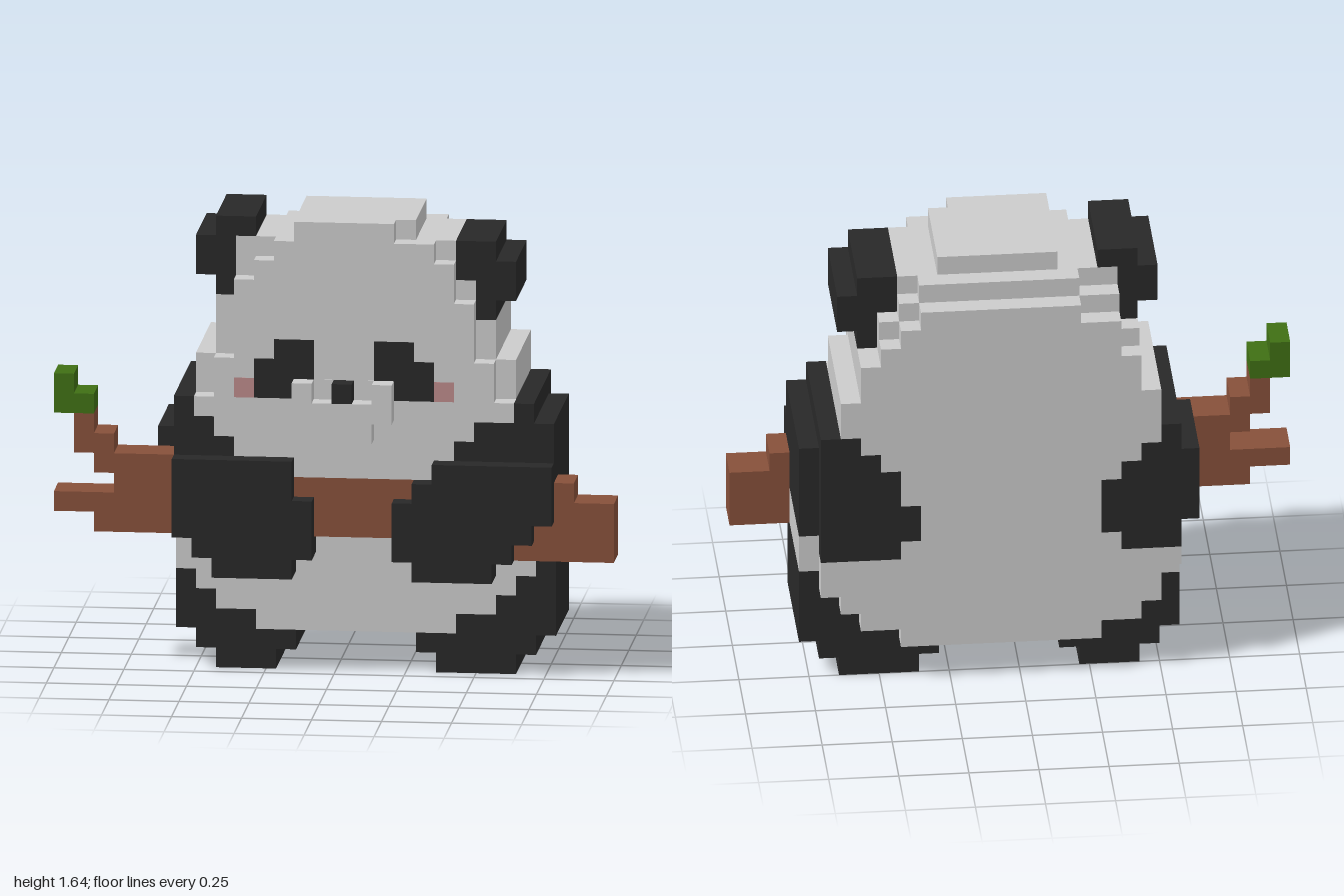
import * as THREE from 'three';
import { mergeGeometries } from 'three/addons/utils/BufferGeometryUtils.js';

const U = 1 / 14; // edge of one cube
const BLACK = 0x282828, BROWN = 0x87503a, GREEN = 0x3f6f14, PINK = 0xbb8a8a, GREY = 0xcccccc;

export function createModel() {
  const model = new THREE.Group();

  // One part: boxes [y0, y1, x0, x1] in cube units, all spanning z0..z1
  function part(name, color, z0, z1, runs) {
    const boxes = runs.map(([y0, y1, x0, x1]) =>
      new THREE.BoxGeometry((x1 - x0) * U, (y1 - y0) * U, (z1 - z0) * U)
        .translate((x0 + x1) / 2 * U, (y0 + y1) / 2 * U, (z0 + z1) / 2 * U));
    const material = new THREE.MeshStandardMaterial({ color, flatShading: true });
    const mesh = new THREE.Mesh(mergeGeometries(boxes), material);
    mesh.name = name;
    model.add(mesh);
  }

  // Torso and head core
  part('torso', GREY, -3.5, 2.5, [
    [2, 3, -4, 6], [3, 4, -6, 8], [4, 5, -7, 9], [5, 6, -8, 10],
    [6, 8, -8, 11], [8, 14, -7, 9],
  ]);
  part('head', GREY, -2.5, 2.5, [
    [14, 16, -7, 9], [16, 18, -6, 8], [18, 19, -6, 7], [19, 20, -5, 7],
    [20, 22, -5, 6], [22, 23, -2, 4],
  ]);
  part('headRear', GREY, -3.5, -2.5, [
    [14, 16, -7, 9], [16, 18, -6, 8], [18, 19, -6, 7], [19, 20, -5, 7],
    [20, 21, -5, 6], [21, 22, -3, 5],
  ]);

  // Raised face plate
  part('face', GREY, 2.5, 3.5, [
    [10, 12, -5, 6], [12, 13, -6, 7], [13, 14, -7, 9], [14, 16, -6, 8],
    [16, 19, -5, 7], [19, 20, -5, 6], [20, 21, -4, 6], [21, 22, -3, 5], [22, 23, -2, 3],
  ]);
  part('eyes', BLACK, 3, 3.52, [
    [16, 17, -3, -1], [14, 16, -4, -1], [16, 17, 2, 4], [14, 16, 2, 5],
  ]);
  part('cheeks', PINK, 3, 3.52, [[14, 15, -5, -4], [14, 15, 5, 6]]);
  part('muzzle', GREY, 3.5, 4.5, [
    [12, 13, -1, 2], [13, 14, -2, 3], [14, 15, -2, -1], [14, 15, 2, 3],
  ]);
  part('muzzleInset', GREY, 3, 3.54, [[14, 15, -2, 3]]);
  part('nose', BLACK, 3.5, 4.5, [[14, 15, 0, 1]]);

  // Ears
  part('rightEar', BLACK, -2.5, 2.5, [[22, 23, -6, -4], [20, 22, -7, -5], [19, 20, -6, -5]]);
  part('leftEar', BLACK, -2.5, 2.5, [[21, 22, 6, 8], [20, 21, 6, 9], [19, 20, 7, 9], [18, 19, 7, 8]]);

  // Back plate with the dark shoulder patches
  part('back', GREY, -4.5, -3.5, [
    [2, 3, -4, 6], [3, 4, -6, 8], [4, 5, -7, 9], [5, 6, -7, 10], [6, 7, -8, 10],
    [7, 8, -5, 6], [8, 10, -4, 5], [10, 11, -4, 6], [11, 12, -5, 6],
    [12, 13, -6, 7], [13, 14, -7, 8], [14, 16, -7, 9], [16, 18, -6, 8],
    [18, 19, -5, 7], [19, 20, -5, 6], [20, 21, -3, 5],
  ]);
  part('backPatches', BLACK, -4.5, -3.5, [
    [7, 8, -8, -5], [8, 11, -8, -4], [11, 12, -8, -5], [12, 13, -8, -6], [13, 14, -8, -7],
    [7, 8, 6, 10], [8, 10, 5, 10], [10, 12, 6, 10], [12, 13, 7, 10], [13, 14, 8, 10],
  ]);

  // Arms: sides, front of the shoulders, elbow and paws
  part('armSides', BLACK, -3.5, 2.5, [[8, 14, -8, -7], [8, 13, 9, 11], [13, 14, 9, 10]]);
  part('shoulders', BLACK, 2.5, 3.5, [
    [13, 14, -8, -7], [12, 13, -8, -6], [11, 12, -8, -5],
    [13, 14, 9, 10], [12, 13, 7, 11], [11, 12, 6, 11],
  ]);
  part('rightElbow', BLACK, -3.5, 1.5, [[8, 12, -9, -8]]);
  part('rightPaw', BLACK, 2.5, 4.5, [
    [9, 11, -8, -2], [7, 9, -8, -1], [6, 7, -7, -1], [5, 6, -6, -2],
  ]);
  part('leftPaw', BLACK, 2.5, 4.5, [
    [10, 11, 5, 11], [9, 10, 4, 11], [8, 9, 3, 11], [7, 8, 3, 10], [6, 7, 3, 9], [5, 6, 4, 8],
  ]);

  // Legs and feet
  part('rightLeg', BLACK, -3.5, 2.5, [
    [4, 5, -8, -7], [3, 4, -8, -6], [2, 3, -8, -4], [1, 2, -7, -2], [0, 1, -6, -3],
  ]);
  part('leftLeg', BLACK, -3.5, 2.5, [
    [5, 6, 10, 11], [4, 5, 9, 11], [3, 4, 8, 11], [2, 3, 6, 11], [1, 2, 4, 10], [0, 1, 5, 9],
  ]);

  // Branch held across the belly, with a twig and a leaf
  part('branch', BROWN, 1.5, 3.5, [
    [10, 11, -12, -8], [9, 10, -11, 12], [8, 9, -14, 14], [7, 8, -12, 14], [6, 7, 8, 14],
    [11, 12, -13, -11], [12, 13, -13, -12],
  ]);
  part('leaf', GREEN, 1.5, 3.5, [[13, 14, -14, -12], [14, 15, -14, -13]]);

  return model;
}
